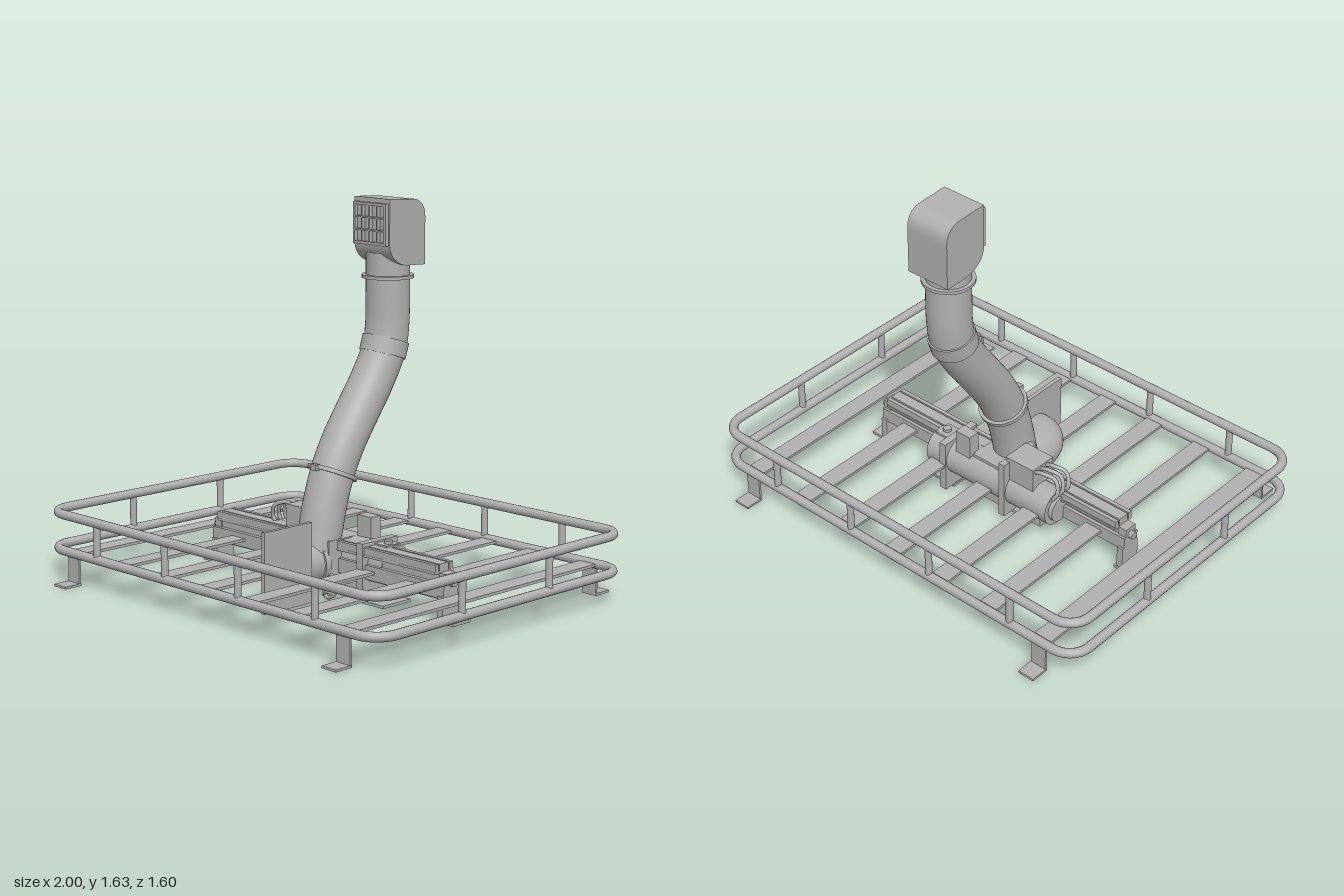
import * as THREE from 'three';

const V = (x, y, z) => new THREE.Vector3(x, y, z);

export function createModel() {
  const root = new THREE.Group();
  const grey = new THREE.MeshStandardMaterial({ color: 0xb0b0b0 });
  grey.name = 'plainGrey';

  const add = (name, geo) => {
    const m = new THREE.Mesh(geo, grey);
    m.name = name;
    root.add(m);
    return m;
  };
  // box given by its limits on each axis
  const box = (name, x0, x1, y0, y1, z0, z1) => {
    const m = add(name, new THREE.BoxGeometry(x1 - x0, y1 - y0, z1 - z0));
    m.position.set((x0 + x1) / 2, (y0 + y1) / 2, (z0 + z1) / 2);
    return m;
  };
  // cylinder between two points
  const rod = (name, a, b, r, sides = 40) => {
    const d = b.clone().sub(a);
    const m = add(name, new THREE.CylinderGeometry(r, r, d.length(), sides));
    m.position.copy(a).add(b).multiplyScalar(0.5);
    m.quaternion.setFromUnitVectors(V(0, 1, 0), d.normalize());
    return m;
  };
  const tube = (name, pts, r, steps = 40, sides = 12) =>
    add(name, new THREE.TubeGeometry(new THREE.CatmullRomCurve3(pts.map(p => V(...p))), steps, r, sides));

  // rounded rectangular rails of the rack
  const X = 0.98, Z = 0.72, R = 0.1;
  for (const y of [0.135, 0.292]) {
    const path = new THREE.CurvePath();
    const corner = (sx, sz, flip) => {
      const a = V(sx * X, y, sz * (Z - R)), b = V(sx * (X - R), y, sz * Z);
      const pts = [];
      for (let i = 0; i <= 10; i++) {
        const t = i / 10 * Math.PI / 2;
        pts.push(V(sx * (X - R + R * Math.cos(t)), y, sz * (Z - R + R * Math.sin(t))));
      }
      return flip ? pts.reverse() : pts;
    };
    const ring = [...corner(1, 1), ...corner(-1, 1, true), ...corner(-1, -1), ...corner(1, -1, true)];
    ring.forEach((p, i) => path.add(new THREE.LineCurve3(p, ring[(i + 1) % ring.length])));
    add('rackRail', new THREE.TubeGeometry(path, 300, 0.02, 14, true));
  }
  // posts between the rails
  for (const s of [-1, 1]) {
    for (const x of [-0.655, -0.22, 0.22, 0.655]) rod('rackPost', V(x, 0.135, s * Z), V(x, 0.292, s * Z), 0.015, 16);
    for (const z of [-0.255, 0.255]) rod('rackPost', V(s * X, 0.135, z), V(s * X, 0.292, z), 0.015, 16);
  }
  // floor slats
  for (let i = -3; i <= 3; i++) {
    const x = i * 0.2617 + Math.sign(i) * (Math.abs(i) === 3 ? 0.025 : 0);
    box('floorSlat', x - 0.042, x + 0.042, 0.128, 0.14, -0.71, 0.71);
  }
  // corner legs with flat feet
  for (const sx of [-1, 1]) for (const sz of [-1, 1]) {
    const zs = [0.715 * sz, 0.8 * sz].sort((a, b) => a - b);
    box('rackLeg', sx * 0.81 - 0.036, sx * 0.81 + 0.036, 0, 0.135, sz * 0.72 - 0.005, sz * 0.72 + 0.005);
    box('rackFoot', sx * 0.81 - 0.038, sx * 0.81 + 0.038, 0, 0.01, zs[0], zs[1]);
  }

  // cross beam with top and bottom flanges
  box('beamWeb', -0.65, 0.65, 0.09, 0.235, -0.025, 0.025);
  box('beamFace', -0.69, 0.69, 0.1, 0.16, -0.04, 0.045);
  for (const z of [-0.042, -0.012, 0.018, 0.043]) box('beamRib', -0.65, 0.65, 0.205, 0.235, z - 0.009, z + 0.009);
  box('beamFlange', -0.65, 0.65, 0.195, 0.205, -0.055, 0.053);
  for (const s of [-1, 1]) {
    const pair = (a, b) => [a * s, b * s].sort((p, q) => p - q);
    box('beamEnd', ...pair(0.65, 0.69), 0.12, 0.2, -0.03, 0.03);
    rod('beamEndBolt', V(s * 0.65, 0.165, 0), V(s * 0.71, 0.165, 0), 0.018, 12);
    box('beamBracket', ...pair(0.66, 0.69), 0, 0.11, -0.05, 0.05);
    box('beamBracketFoot', ...pair(0.65, 0.745), 0, 0.012, -0.055, 0.05);
  }

  // drive housing across the middle
  const cy = 0.155, cz = -0.055;
  rod('centreHousing', V(-0.1, cy, cz), V(0.22, cy, cz), 0.085);
  rod('motorBody', V(0.22, cy, cz), V(0.33, cy, cz), 0.085);
  rod('gearBody', V(-0.34, cy, cz), V(-0.1, cy, cz), 0.083);
  rod('gearCap', V(-0.36, cy, cz), V(-0.34, cy, cz), 0.06);
  box('motorFlange', 0.215, 0.25, 0.01, 0.25, -0.145, 0.06);
  box('motorFoot', 0.21, 0.37, 0, 0.012, -0.1, 0.06);
  box('gearFlange', -0.12, -0.09, 0.04, 0.31, -0.145, 0.06);
  box('gearLeg', -0.25, -0.17, 0, 0.09, -0.06, 0.04);
  box('gearFoot', -0.25, -0.07, 0, 0.012, -0.06, 0.05);
  box('controlBox', -0.25, -0.1, 0.22, 0.33, -0.11, 0.02);
  box('sideBlock', 0.1, 0.18, 0.22, 0.33, -0.115, -0.06);
  box('pipeSaddle', -0.095, 0.095, 0.04, 0.24, -0.1, 0.1);
  rod('motorTopScrew', V(0.29, 0.23, -0.05), V(0.29, 0.255, -0.05), 0.018, 16);
  box('motorTopBox', 0.25, 0.32, 0.22, 0.242, -0.09, -0.01);

  // looped cables
  for (let i = 0; i < 3; i++) {
    const z = -0.09 + i * 0.035;
    tube('upperCable', [[-0.24, 0.31, z], [-0.29, 0.325, z], [-0.34, 0.305, z + 0.02], [-0.36, 0.25, z + 0.01], [-0.33, 0.2, z]], 0.009, 24, 8);
  }
  for (const d of [0, 0.025]) {
    tube('lowerCable', [[0.07, 0.1, 0.05], [0.08, 0.04 - d, 0.11], [0.12, 0.015 + d, 0.135],
      [0.165, 0.04, 0.135], [0.16, 0.09, 0.13], [0.11, 0.1 - d, 0.1]], 0.009, 32, 8);
  }

  // horizontal elbow ending against the upright plate
  tube('lowerElbow', [[0, 0.14, 0.03], [0, 0.14, 0.12], [0, 0.14, 0.2], [0.008, 0.14, 0.245], [0.035, 0.14, 0.28], [0.085, 0.14, 0.288]], 0.094, 48, 40);
  box('uprightPlate', 0.08, 0.098, 0, 0.34, 0.2, 0.465);
  rod('pipeSocket', V(0, 0.14, 0.09), V(0, 0.14, 0.12), 0.102);

  // tall curved duct
  tube('duct', [[0, 0.14, 0.085], [0, 0.25, 0.06], [0, 0.36, 0.035], [0, 0.5, -0.012], [0, 0.62, -0.075], [0, 0.75, -0.165],
    [0, 0.87, -0.25], [0, 0.995, -0.318], [0, 1.1, -0.336], [0, 1.22, -0.338], [0, 1.4, -0.338]], 0.093, 120, 40);
  rod('ductSleeve', V(0, 0.965, -0.307), V(0, 1.03, -0.328), 0.1);
  rod('upperClamp', V(0, 1.289, -0.338), V(0, 1.303, -0.338), 0.11);
  rod('lowerClamp', V(0, 0.492, -0.009), V(0, 0.508, -0.016), 0.107);
  box('clampLug', -0.015, 0.015, 0.525, 0.55, 0.075, 0.1);

  // intake head, side profile extruded across x
  const p = new THREE.Shape();
  p.moveTo(-0.242, 1.63);
  p.lineTo(-0.39, 1.622);
  p.quadraticCurveTo(-0.455, 1.61, -0.455, 1.54);
  p.lineTo(-0.455, 1.343);
  p.lineTo(-0.35, 1.347);
  p.quadraticCurveTo(-0.3, 1.35, -0.265, 1.385);
  p.quadraticCurveTo(-0.242, 1.41, -0.242, 1.45);
  p.closePath();
  const head = add('intakeHead', new THREE.ExtrudeGeometry(p, { depth: 0.206, bevelEnabled: false, curveSegments: 12 }));
  head.rotation.y = -Math.PI / 2;
  // shape x becomes z after the turn
  head.position.x = 0.103;

  // intake grille
  const frame = new THREE.Shape();
  const rect = (s, x0, x1, y0, y1) => {
    s.moveTo(x0, y0); s.lineTo(x1, y0); s.lineTo(x1, y1); s.lineTo(x0, y1); s.closePath();
    return s;
  };
  rect(frame, -0.095, 0.095, 1.435, 1.61);
  for (let i = 0; i < 4; i++) for (let j = 0; j < 3; j++) {
    const x = -0.084 + i * 0.0435, y = 1.446 + j * 0.053;
    frame.holes.push(rect(new THREE.Path(), x, x + 0.0375, y, y + 0.047));
  }
  add('intakeGrille', new THREE.ExtrudeGeometry(frame, { depth: 0.018, bevelEnabled: false })).position.z = -0.243;

  return root;
}
